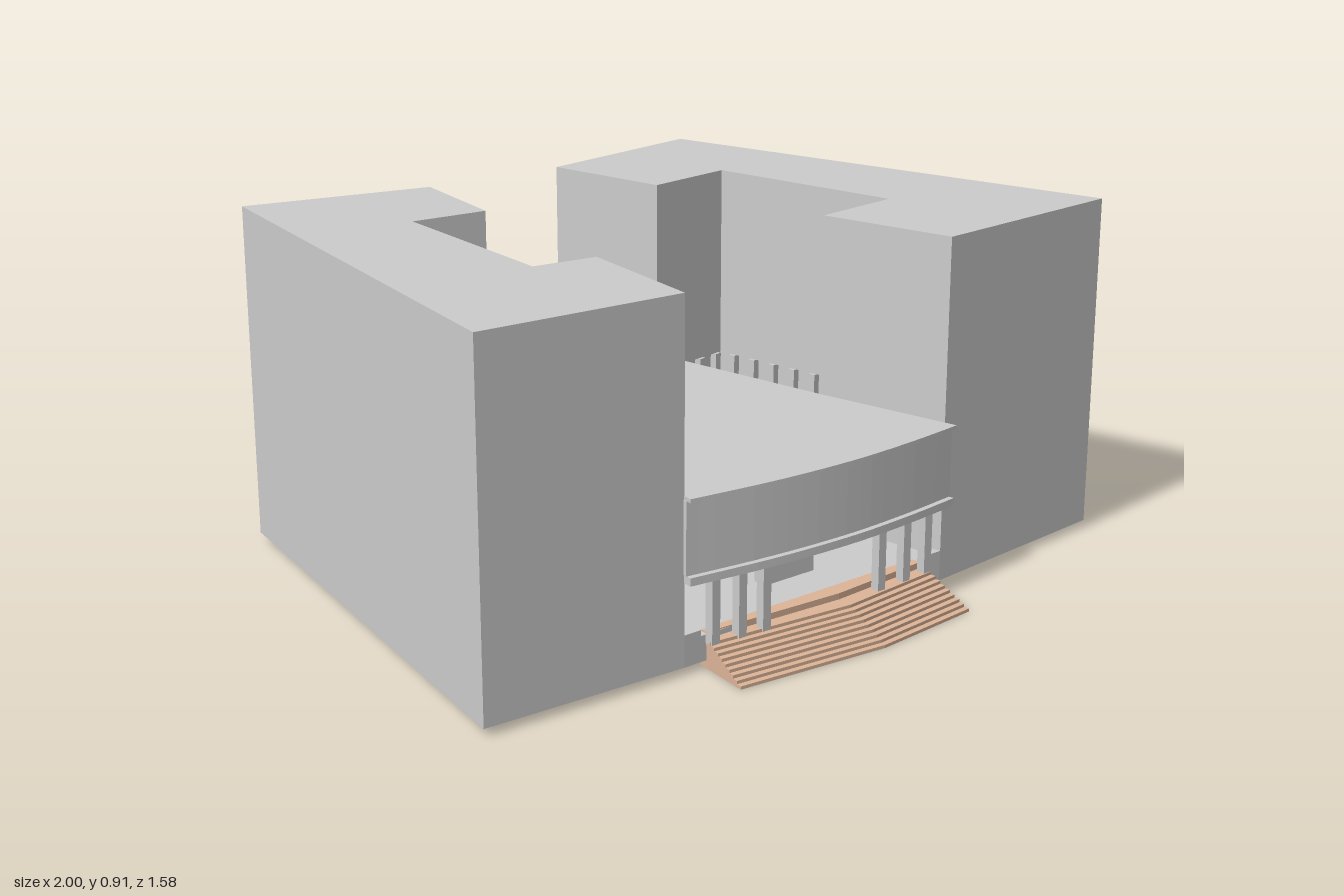
import * as THREE from 'three';

const grey = new THREE.MeshStandardMaterial({ color: 0xcccccc, side: THREE.DoubleSide });
const wood = new THREE.MeshStandardMaterial({ color: 0xdcb498, side: THREE.DoubleSide });
const green = new THREE.MeshStandardMaterial({ color: 0x5fa08c });

// Vertical prism over a plan outline of [x, z] points
function prism(name, plan, y0, y1, material = grey, hole = null) {
  const pts = (list) => list.map(([x, z]) => new THREE.Vector2(x, -z));
  const shape = new THREE.Shape(pts(plan));
  if (hole) shape.holes.push(new THREE.Path(pts(hole)));
  const geo = new THREE.ExtrudeGeometry(shape, { depth: y1 - y0, bevelEnabled: false });
  geo.rotateX(-Math.PI / 2).translate(0, y0, 0);
  const mesh = new THREE.Mesh(geo, material);
  mesh.name = name;
  return mesh;
}

function box(name, w, h, d, x, y0, z, material = grey, turn = 0) {
  const mesh = new THREE.Mesh(new THREE.BoxGeometry(w, h, d), material);
  mesh.position.set(x, y0 + h / 2, z);
  mesh.rotation.y = turn;
  mesh.name = name;
  return mesh;
}

// Smooth plan curve through a few points
function curve(points, n = 20) {
  const c = new THREE.SplineCurve(points.map(([x, z]) => new THREE.Vector2(x, z)));
  return c.getPoints(n).map((p) => [p.x, p.y]);
}

// Wing plans: outer corners, then the courtyard notch on the inner side
const wings = [
  {
    name: 'rightWing',
    outer: [[-0.46, 0.605], [-1, 0.575], [-0.77, -0.79], [-0.265, -0.685]],
    notch: [[-0.32, -0.35], [-0.53, -0.365], [-0.575, 0.2], [-0.405, 0.22]],
    recess: [[-0.31, -0.4], [-0.585, -0.415], [-0.63, 0.2], [-0.405, 0.22]],
    benches: [[-0.43, -0.31], [-0.35, -0.295], [-0.42, -0.26], [-0.36, -0.25],
      [-0.51, -0.18], [-0.535, -0.1], [-0.535, -0.03], [-0.555, 0.07]],
  },
  {
    name: 'leftWing',
    outer: [[0.38, 0.605], [1, 0.55], [0.69, -0.79], [0.155, -0.685]],
    notch: [[0.215, -0.318], [0.48, -0.36], [0.57, 0.2], [0.305, 0.235]],
    recess: [[0.207, -0.37], [0.527, -0.415], [0.625, 0.195], [0.305, 0.235]],
    benches: [[0.27, -0.305], [0.33, -0.32], [0.27, -0.25], [0.34, -0.265],
      [0.42, -0.2], [0.49, -0.22], [0.435, -0.145], [0.505, -0.155], [0.45, -0.09],
      [0.51, -0.09], [0.46, -0.03], [0.525, -0.03], [0.465, 0.04], [0.53, 0.05],
      [0.48, 0.1], [0.54, 0.12], [0.49, 0.16]],
  },
];

function buildWing({ name, outer, notch, recess, benches }) {
  const g = new THREE.Group();
  g.name = name;
  g.add(
    prism('wingGroundFloor', outer, 0.085, 0.24),
    prism('wingArcadeFloor', [...outer, ...recess], 0.24, 0.39),
    prism('wingUpperFloors', [...outer, ...notch], 0.39, 0.91),
  );
  // Arcade piers under the courtyard walls
  const turn = Math.sign(outer[1][0]) * 0.15;
  for (const [a, b, n] of [[notch[0], notch[1], 4], [notch[1], notch[2], 8]]) {
    for (let i = 1; i <= n; i++) {
      const t = (i - 0.3) / n;
      g.add(box('arcadePier', 0.02, 0.15, 0.02,
        a[0] + (b[0] - a[0]) * t, 0.24, a[1] + (b[1] - a[1]) * t, grey, turn));
    }
  }
  for (const [x, z] of benches) g.add(box('courtyardBench', 0.034, 0.05, 0.01, x, 0.24, z, green, turn));
  return g;
}

// Curved-front hall between the wings
function buildHall() {
  const g = new THREE.Group();
  g.name = 'hall';
  const back = curve([[-0.265, -0.685], [-0.17, -0.712], [-0.05, -0.73], [0.06, -0.715], [0.155, -0.685]]);
  const front = (dz) => curve([[0.385, 0.64 - dz], [0.2, 0.66 - dz], [0, 0.67 - dz],
    [-0.23, 0.66 - dz], [-0.465, 0.632 - dz]]);
  const sides = [...back, [0.215, -0.318], [0.305, 0.235]];
  const west = [[-0.405, 0.22], [-0.32, -0.35]];
  const plan = (dz) => [...sides, ...front(dz), ...west];
  g.add(
    prism('hallLowerBlock', [...sides, [0.318, 0.3], [-0.416, 0.3], ...west], 0.085, 0.23),
    prism('canopyLedge', plan(0), 0.23, 0.25),
    prism('hallUpperBlock', plan(0.015), 0.25, 0.43),
    prism('hallRoof', plan(0), 0.43, 0.44),
    box('roofVent', 0.02, 0.012, 0.015, -0.28, 0.44, -0.51),
    box('receptionDesk', 0.16, 0.05, 0.04, -0.01, 0.085, 0.45),
    box('porchCurb', 0.05, 0.02, 0.03, 0.355, 0.08, 0.59),
    box('porchCurb', 0.05, 0.02, 0.03, -0.435, 0.08, 0.59),
  );
  for (const x of [-0.385, -0.31, -0.24, 0.13, 0.22, 0.3]) {
    g.add(box('porchColumn', 0.024, 0.17, 0.024, x, 0.065, 0.64 - 0.15 * x * x));
  }
  return g;
}

// Fanned entrance stair, each tread set further back
function buildSteps() {
  const g = new THREE.Group();
  g.name = 'entranceSteps';
  const n = 9;
  for (let i = 0; i < n; i++) {
    const s = (0.135 * i) / n;
    const e = 0.1 * s;
    g.add(prism('step', [[-0.39, 0.58], [-0.41 + e, 0.745 - s], [0.01, 0.787 - s],
      [0.325 - e, 0.76 - s], [0.305, 0.58]], (0.072 * i) / n, (0.072 * (i + 1)) / n, wood));
  }
  g.add(prism('landing', [[-0.39, 0.58], [-0.39, 0.6], [0.01, 0.625], [0.31, 0.605], [0.305, 0.58]], 0.072, 0.088, wood));
  return g;
}

export function createModel() {
  const model = new THREE.Group();
  model.name = 'building';

  // Base slab over a hollow foundation rim
  const foot = [...wings[1].outer,
    ...curve([[0.155, -0.685], [0.06, -0.715], [-0.05, -0.73], [-0.17, -0.712], [-0.265, -0.685]]).slice(1, -1),
    ...[...wings[0].outer].reverse()];
  const inner = foot.map(([x, z]) => [x * 0.95, z * 0.95]);
  model.add(
    prism('foundationRim', foot, 0.02, 0.05, grey, inner),
    prism('baseSlab', foot, 0.05, 0.085),
  );

  wings.forEach((w) => model.add(buildWing(w)));
  model.add(buildHall(), buildSteps());
  return model;
}
